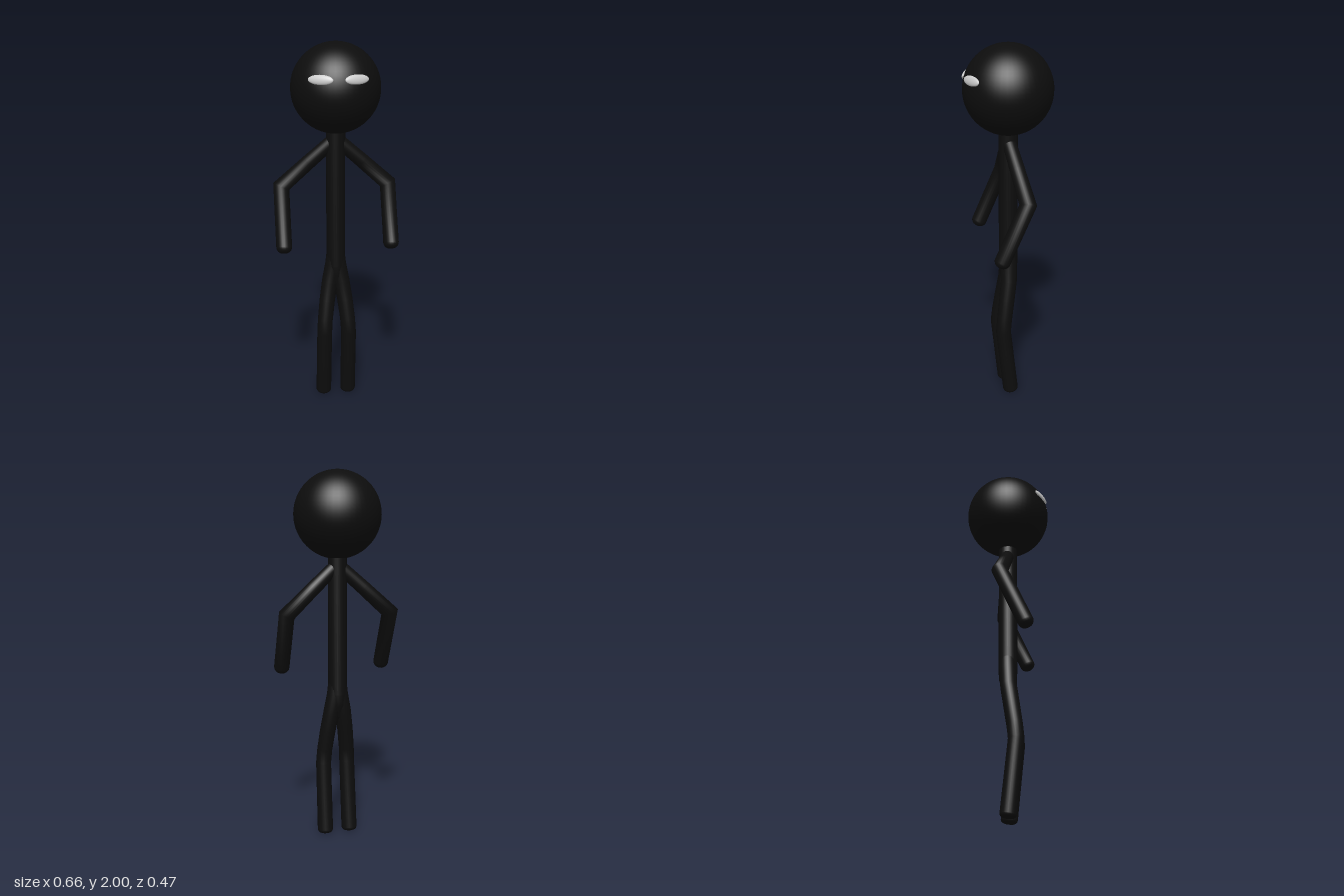
import * as THREE from 'three';

const black = new THREE.MeshStandardMaterial({ color: 0x0d0d0d, roughness: 0.9 });
const grey = new THREE.MeshStandardMaterial({ color: 0xcccccc });
const SIDES = 24;

// Round limb swept along stations [x, y, z, radius], mitred at bends,
// with a rounded cap of the given length at its far end.
function limb(name, stations, capLength) {
  const pts = stations.map(([x, y, z]) => new THREE.Vector3(x, y, z));
  const radii = stations.map((s) => s[3]);
  const end = pts[pts.length - 1].clone();
  const r = radii[radii.length - 1];
  const along = end.clone().sub(pts[pts.length - 2]).normalize();
  for (let i = 1; i <= 6; i++) {
    const a = (i / 6) * Math.PI / 2;
    pts.push(end.clone().addScaledVector(along, capLength * Math.sin(a)));
    // the cap keeps a flat middle when it is short
    radii.push(i === 6 ? r - capLength : r - capLength * (1 - Math.cos(a)));
  }
  pts.push(pts[pts.length - 1].clone());
  radii.push(0.0005);

  const position = [], index = [];
  const z = new THREE.Vector3(0, 0, 1);
  pts.forEach((p, i) => {
    const din = pts[Math.max(i, 1)].clone().sub(pts[Math.max(i - 1, 0)]).normalize();
    const dout = i < pts.length - 1 ? pts[i + 1].clone().sub(p).normalize() : along.clone();
    if (din.lengthSq() === 0) din.copy(along);
    if (dout.lengthSq() === 0) dout.copy(along);
    const mitre = din.clone().add(dout).normalize();
    const u = z.clone().addScaledVector(din, -din.z).normalize();
    const v = din.clone().cross(u);
    for (let j = 0; j < SIDES; j++) {
      const a = (j / SIDES) * Math.PI * 2;
      const o = u.clone().multiplyScalar(Math.cos(a) * radii[i])
        .addScaledVector(v, Math.sin(a) * radii[i]);
      o.addScaledVector(din, -o.dot(mitre) / din.dot(mitre));
      position.push(p.x + o.x, p.y + o.y, p.z + o.z);
      if (i < pts.length - 1) {
        const k = (j + 1) % SIDES, b = i * SIDES, c = b + SIDES;
        index.push(b + j, b + k, c + j, b + k, c + k, c + j);
      }
    }
  });
  const g = new THREE.BufferGeometry();
  g.setAttribute('position', new THREE.Float32BufferAttribute(position, 3));
  g.setIndex(index);
  g.computeVertexNormals();
  const mesh = new THREE.Mesh(g, black);
  mesh.name = name;
  return mesh;
}

export function createModel() {
  const model = new THREE.Group();
  model.name = 'stickFigure';

  // Head
  const headCentre = new THREE.Vector3(0, 1.767, 0);
  const headRadius = 0.233;
  const head = new THREE.Mesh(new THREE.SphereGeometry(headRadius, 48, 32), black);
  head.name = 'head';
  head.position.copy(headCentre);
  model.add(head);

  // Flat oval eyes lying on the head, slightly off centre
  for (const [name, x] of [['leftEye', 0.08], ['rightEye', -0.101]]) {
    const y = 0.07;
    const normal = new THREE.Vector3(x, y, Math.sqrt(headRadius ** 2 - x * x - y * y)).normalize();
    const eye = new THREE.Mesh(new THREE.SphereGeometry(1, 32, 16), grey);
    eye.name = name;
    eye.scale.set(0.066, 0.025, 0.013);
    eye.position.copy(headCentre).addScaledVector(normal, headRadius - 0.004);
    eye.lookAt(headCentre.clone().addScaledVector(normal, 2));
    model.add(eye);
  }

  // Torso, narrowing between the legs
  model.add(limb('torso', [
    [0, 1.58, 0, 0.051], [0, 0.8, 0, 0.051], [0, 0.74, 0, 0.047], [0, 0.68, 0.005, 0.03],
  ], 0.02));

  for (const [side, s] of [['left', 1], ['right', -1]]) {
    // Bent arm with the forearm swung forward
    model.add(limb(side + 'Arm', [
      [0, 1.505, 0, 0.036], [s * 0.14, 1.38, -0.015, 0.039],
      [s * 0.288, 1.245, -0.032, 0.042], [s * 0.288, 0.948, 0.1, 0.042],
    ], 0.034));
    // Leg with the knee set forward
    model.add(limb(side + 'Leg', [
      [s * 0.006, 0.86, 0, 0.045], [s * 0.013, 0.8, 0, 0.045], [s * 0.033, 0.7, 0.004, 0.044],
      [s * 0.05, 0.59, 0.02, 0.043], [s * 0.063, 0.48, 0.036, 0.042],
      [s * 0.068, 0.4, 0.044, 0.042], [s * 0.07, 0.022, 0.004, 0.043],
    ], 0.02));
  }
  return model;
}
